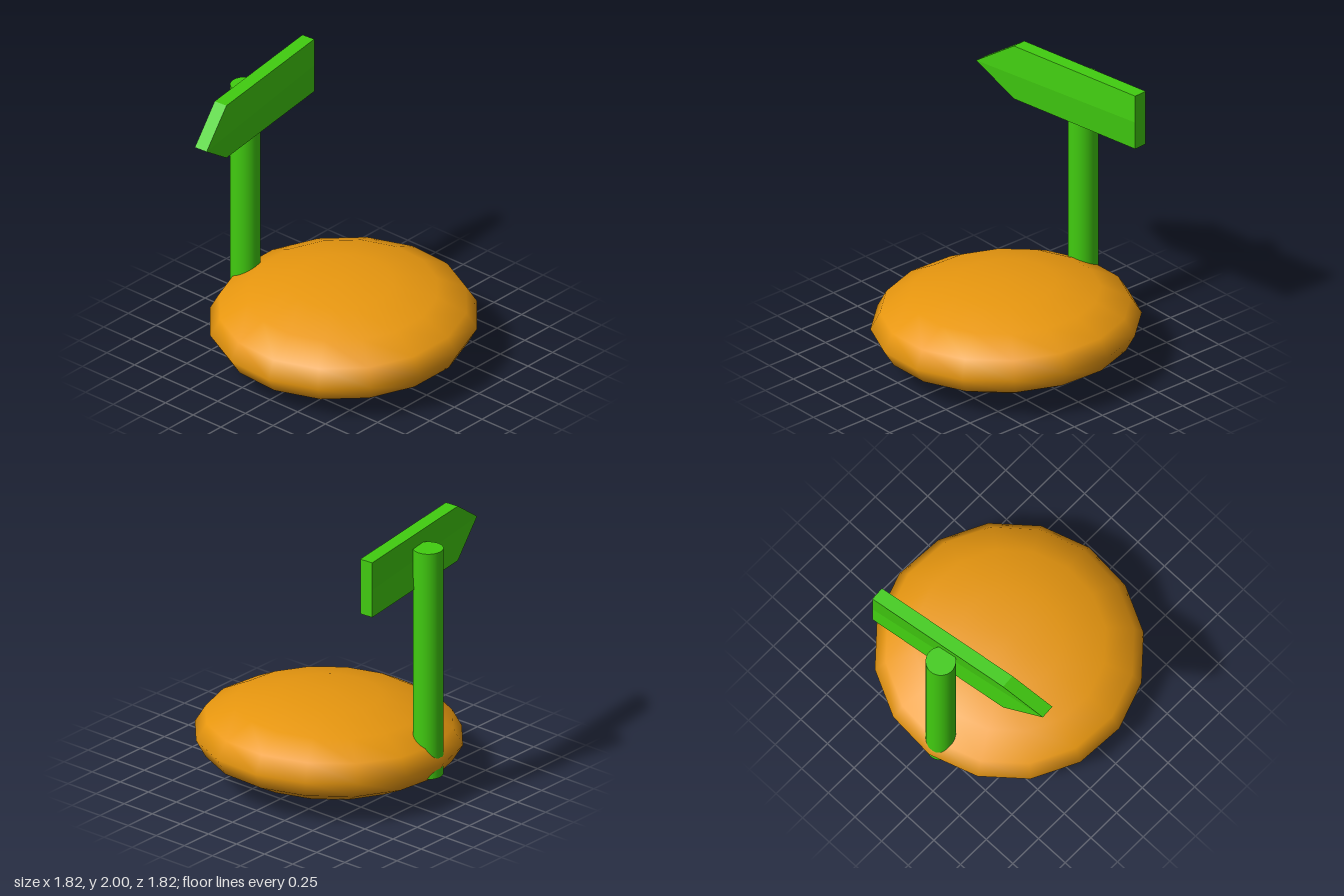
import * as THREE from 'three';

const green = new THREE.MeshStandardMaterial({ color: 0x41cc10 });
const orange = new THREE.MeshStandardMaterial({ color: 0xe8970f });

// Geometry from four-cornered panels, each shaded as one flat face
function panelGeometry(panels) {
  const pos = [], nor = [];
  for (const [a, b, c, d] of panels) {
    const n = c.clone().sub(a).cross(d.clone().sub(b)).normalize();
    for (const p of [a, b, c, a, c, d]) {
      pos.push(p.x, p.y, p.z);
      nor.push(n.x, n.y, n.z);
    }
  }
  const g = new THREE.BufferGeometry();
  g.setAttribute('position', new THREE.Float32BufferAttribute(pos, 3));
  g.setAttribute('normal', new THREE.Float32BufferAttribute(nor, 3));
  return g;
}

// Arrow board: slanted outline with its tip pulled slightly forward
function arrowGeometry() {
  const front = [
    [0.507, 1.797, -0.714], // middle of the square end
    [0.507, 2.0, -0.714],
    [-0.567, 2.0, -0.555],
    [-0.862, 1.797, -0.473], // tip
    [-0.567, 1.594, -0.555],
    [0.507, 1.594, -0.714],
  ].map((p) => new THREE.Vector3(...p));
  const back = front.map((p) => p.clone().add(new THREE.Vector3(-0.007, 0, -0.1)));
  const pick = (ring, ids) => ids.map((i) => ring[i]);

  const panels = [
    pick(front, [1, 2, 3, 0]), pick(front, [5, 0, 3, 4]),
    pick(back, [1, 0, 3, 2]), pick(back, [5, 4, 3, 0]),
  ];
  front.forEach((p, i) => {
    const j = (i + 1) % front.length;
    panels.push([p, back[i], back[j], front[j]]);
  });
  return panelGeometry(panels);
}

export function createModel() {
  const model = new THREE.Group();
  model.name = 'signpost';

  const add = (name, geometry, material) => {
    const mesh = new THREE.Mesh(geometry, material);
    mesh.name = name;
    model.add(mesh);
    return mesh;
  };

  // Flattened mound, slightly tilted and turned
  const moundGeometry = new THREE.SphereGeometry(0.92, 16, 8).scale(1, 0.315 / 0.92, 1);
  const mound = add('mound', moundGeometry, orange);
  mound.position.y = 0.317;
  mound.rotation.set(0, 0.14, 0.05);

  // Post through the back of the mound
  const post = add('post', new THREE.CylinderGeometry(0.103, 0.103, 1.675, 32), green);
  post.position.set(-0.115, 1.05, -0.785);

  add('arrowBoard', arrowGeometry(), green);
  return model;
}
